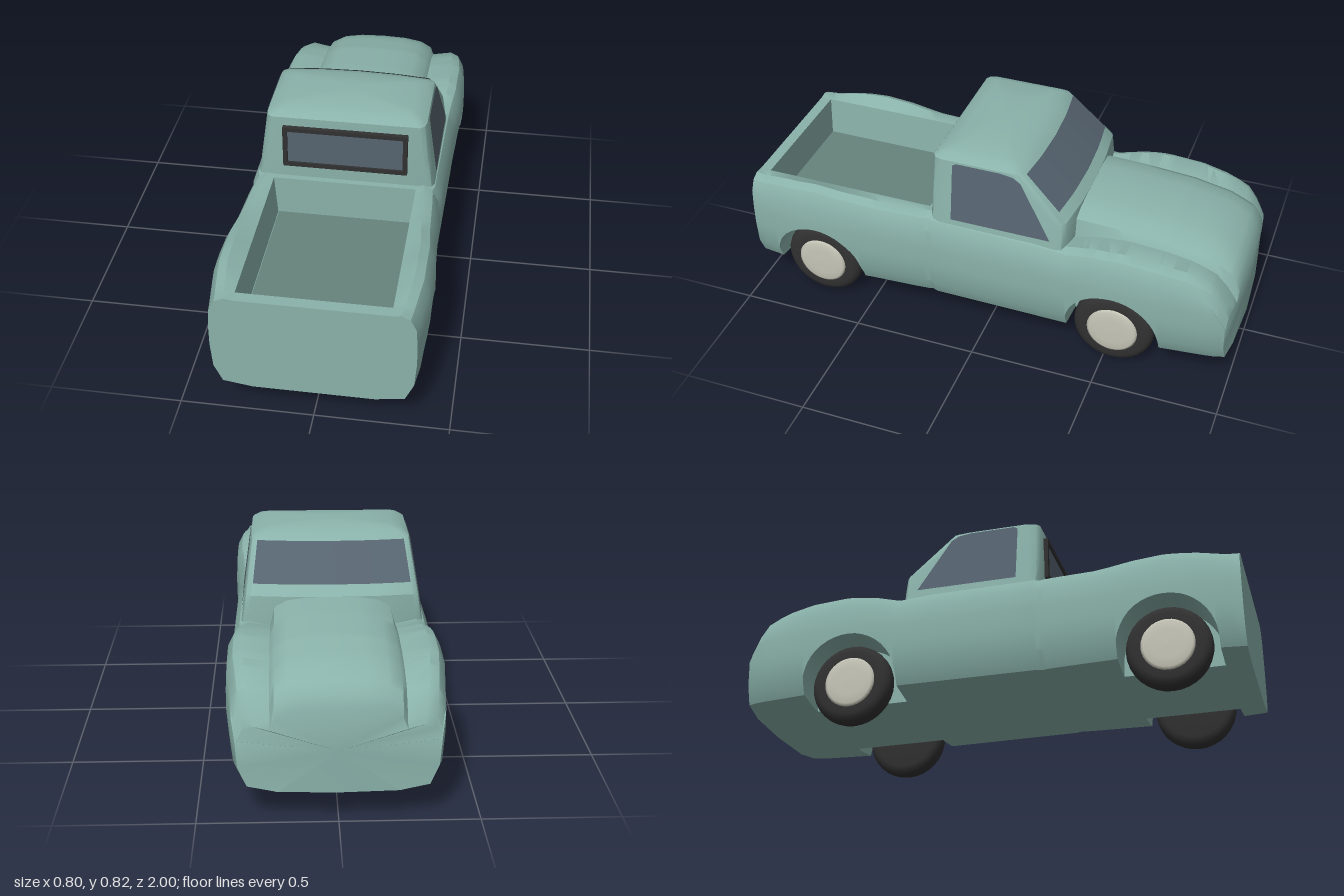
import * as THREE from 'three';
import { toCreasedNormals } from 'three/addons/utils/BufferGeometryUtils.js';

const mat = (name, color, side = THREE.FrontSide) => {
  const m = new THREE.MeshStandardMaterial({ color, side });
  m.name = name;
  return m;
};

// Piecewise linear lookup in [[position, value], ...]
function at(keys, t) {
  if (t <= keys[0][0]) return keys[0][1];
  for (let i = 1; i < keys.length; i++) {
    const [a, va] = keys[i - 1], [b, vb] = keys[i];
    if (t <= b) return va + (vb - va) * (t - a) / (b - a);
  }
  return keys[keys.length - 1][1];
}

// Closed ring from the +x half of a section
const mirrorRing = half => [...half, ...half.slice(1, -1).reverse().map(([x, y, z]) => [-x, y, z])];

// Skin a list of rings, cap both ends, keep sharp creases
function loft(rings, crease = 0.6) {
  const n = rings[0].length, pos = [];
  const tri = (...pts) => {
    const [a, b, c] = pts.map(p => new THREE.Vector3(...p));
    if (b.sub(a).cross(c.sub(a)).length() > 1e-9) pts.forEach(p => pos.push(...p));
  };
  const centre = r => r[0].map((v, k) => (v + r[n / 2][k]) / 2);
  for (let s = 0; s < rings.length - 1; s++) {
    for (let i = 0; i < n; i++) {
      const j = (i + 1) % n, p = rings[s], q = rings[s + 1];
      tri(p[i], q[i], p[j]);
      tri(q[i], q[j], p[j]);
    }
  }
  const first = rings[0], last = rings[rings.length - 1];
  for (let i = 0; i < n; i++) {
    const j = (i + 1) % n;
    tri(centre(first), first[i], first[j]);
    tri(centre(last), last[j], last[i]);
  }
  const g = new THREE.BufferGeometry();
  g.setAttribute('position', new THREE.Float32BufferAttribute(pos, 3));
  g.scale(100, 100, 100); // finer vertex matching while smoothing
  return toCreasedNormals(g, crease).scale(0.01, 0.01, 0.01);
}

// Body curves along z: half width, fender top, bonnet crown
const WIDTH = [[-1, .36], [-.95, .372], [-.88, .38], [-.7, .398], [-.5, .398], [-.36, .384], [0, .38], [.21, .378],
  [.23, .37], [.26, .376], [.5, .388], [.6, .398], [.8, .398], [.9, .386], [1, .373]];
const SHOULDER = [[-1, .36], [-.96, .42], [-.9, .475], [-.82, .51], [-.7, .53], [-.55, .54], [-.45, .53], [-.34, .505],
  [-.2, .515], [.22, .52], [.45, .52], [.6, .535], [.72, .545], [.85, .535], [.95, .52], [1, .52]];
const BONNET = [[-1, .43], [-.98, .475], [-.95, .51], [-.85, .555], [-.7, .585], [-.5, .6], [-.3, .607]];
const SILL = [[.113, .15], [.13, .04], [.2, .008], [.3, 0]]; // tuck-in by height
const AXLES = [-.535, .715], ARCH = .19, HUB_Y = .163, BASE = .113, FLOOR = .35;

function archHeight(z) {
  for (const a of AXLES) {
    const d = Math.abs(z - a);
    if (d < ARCH + 1e-5) return HUB_Y + Math.sqrt(Math.max(0, ARCH * ARCH - d * d));
  }
  return BASE;
}

function bodySection(z) {
  const w = at(WIDTH, z), sh = at(SHOULDER, z), low = archHeight(z);
  let top;
  if (z <= -.3) { // bonnet with a valley beside each fender
    const h = at(BONNET, z);
    top = [[0, h], [.1, h - .003], [.175, h - .015], [.222, h - .042], [.238, Math.min(sh - .015, h - .06)]];
  } else { // cab base, or bed with its well
    const y = z > .25 && z < .9551 ? FLOOR : .515;
    top = [[0, y], [.1, y], [.2, y], [.268, y], [.28, .515]];
  }
  const side = [[w - .06, sh], [w - .027, sh - .016], [w - .005, sh - .06]];
  for (const level of [.38, .3, .2, .13, .113]) {
    const y = Math.max(Math.min(level, sh - .06), low);
    side.push([w - at(SILL, y), y]);
  }
  const half = [...top, ...side, [.22, low], [.22, BASE], [0, BASE]];
  const bow = Math.max(0, (-z - .9) / .1) * .03; // rounded nose in plan
  return mirrorRing(half.map(([x, y]) => [x, y, z + bow * (x / .375) ** 2]));
}

// Cab: [height, rear z, front z, half width]
const CAB = [[.48, .225, -.35, .352], [.53, .225, -.35, .345], [.605, .225, -.345, .3345], [.78, .22, -.165, .31],
  [.797, .2, -.135, .285], [.809, .16, -.1, .25], [.817, .1, -.05, .14], [.82, .06, -.01, .05]];
const cabWidth = y => at(CAB.map(r => [r[0], r[3]]), y);
const cabFront = y => at(CAB.map(r => [r[0], r[2]]), y);
const bowAt = f => at([[0, 0], [.5, .006], [.93, .022]], Math.abs(f));

function cabRing([y, rear, front, w]) {
  const k = Math.min(1, w / .3), m = (rear + front) / 2;
  return mirrorRing([[0, front], [.5, front + .006 * k], [.93, front + .022 * k], [.985, front + .036 * k],
    [1, front + Math.min(.06, .3 * (rear - front))], [1, m], [1, rear - .04 * k], [.975, rear - .012 * k],
    [.92, rear], [.5, rear], [0, rear]].map(([f, z]) => [f * w, y, z]));
}

function rectPath(PathType, x, y0, y1) {
  const p = new PathType();
  p.moveTo(-x, y0);
  p.lineTo(x, y0);
  p.lineTo(x, y1);
  p.lineTo(-x, y1);
  p.closePath();
  return p;
}

export function createModel() {
  const truck = new THREE.Group();
  truck.name = 'pickupTruck';
  const paint = mat('green paint', 0x8ab2aa);
  const bedPaint = mat('dark green bed', 0x66837c);
  const glass = mat('tinted glass', 0x566470, THREE.DoubleSide);
  const black = mat('black rubber', 0x313131);
  const cream = mat('cream hubcap', 0xc6c6b8);
  const add = (name, geo, m, parent = truck) => {
    const mesh = new THREE.Mesh(geo, m);
    mesh.name = name;
    parent.add(mesh);
    return mesh;
  };

  // Body with fenders, wheel arches and bed well
  const stations = [-1, -.98, -.95, -.9, -.85, -.8, -.75, -.34, -.3, -.2999, -.2, -.1, 0, .1, .21, .23, .25, .2501, .3,
    .38, .45, .5, .93, .955, .9552, 1];
  for (const a of AXLES) {
    stations.push(a - ARCH - 2e-4, a + ARCH + 2e-4);
    for (let i = 0; i <= 20; i++) stations.push(a + ARCH * Math.cos(Math.PI * i / 20));
  }
  stations.sort((a, b) => a - b);
  add('body', loft(stations.map(bodySection)), paint);
  add('bedFloor', new THREE.BoxGeometry(.53, .006, .7), bedPaint).position.set(0, FLOOR + .001, .603);

  // Cab
  add('cab', loft(CAB.map(cabRing), .7), paint);

  // Windscreen follows the bowed front of the cab
  const screen = new THREE.PlaneGeometry(2, 1, 12, 4), sp = screen.attributes.position;
  for (let i = 0; i < sp.count; i++) {
    const y = .64 + (sp.getY(i) + .5) * .133, f = sp.getX(i) * .92;
    sp.setXYZ(i, f * cabWidth(y), y + .004, cabFront(y) + bowAt(f) - .004);
  }
  screen.computeVertexNormals();
  add('windscreen', screen, glass);

  // Side windows lie on the sloping cab sides
  for (const s of [1, -1]) {
    const outline = [[.135, .53], [.135, .765], [.12, .775], [-.06, .775], [-.11, .768], [-.14, .75], [-.27, .53]];
    const g = new THREE.ShapeGeometry(new THREE.Shape(outline.map(p => new THREE.Vector2(...p))));
    const p = g.attributes.position;
    for (let i = 0; i < p.count; i++) {
      const z = p.getX(i), y = p.getY(i);
      p.setXYZ(i, s * (cabWidth(y) + .004), y, z);
    }
    g.computeVertexNormals();
    add(s > 0 ? 'leftWindow' : 'rightWindow', g, glass);
  }

  // Rear window and its frame
  const frame = rectPath(THREE.Shape, .243, .57, .745);
  frame.holes.push(rectPath(THREE.Path, .225, .588, .728));
  add('rearWindowFrame', new THREE.ExtrudeGeometry(frame, { depth: .022, bevelEnabled: false }), black).position.z = .218;
  add('rearWindow', new THREE.BoxGeometry(.45, .14, .008), glass).position.set(0, .658, .228);

  // Wheels
  const profile = pts => pts.map(p => new THREE.Vector2(...p));
  const tyre = toCreasedNormals(new THREE.LatheGeometry(profile([[0, -.042], [.13, -.042], [.146, -.038], [.159, -.025],
    [.163, -.01], [.163, .01], [.159, .025], [.146, .038], [.13, .043], [.098, .043]]), 32), .7);
  const cap = new THREE.LatheGeometry(profile([[.102, .03], [.102, .045], [.092, .051], [.06, .053], [0, .054]]), 32);
  for (const z of AXLES) {
    for (const s of [1, -1]) {
      const wheel = new THREE.Group();
      wheel.name = (z < 0 ? 'bonnetEnd' : 'bedEnd') + (s > 0 ? 'LeftWheel' : 'RightWheel');
      add('tyre', tyre, black, wheel);
      add('hubcap', cap, cream, wheel);
      wheel.rotation.z = -s * Math.PI / 2;
      wheel.position.set(s * .313, HUB_Y, z);
      truck.add(wheel);
    }
  }
  return truck;
}
